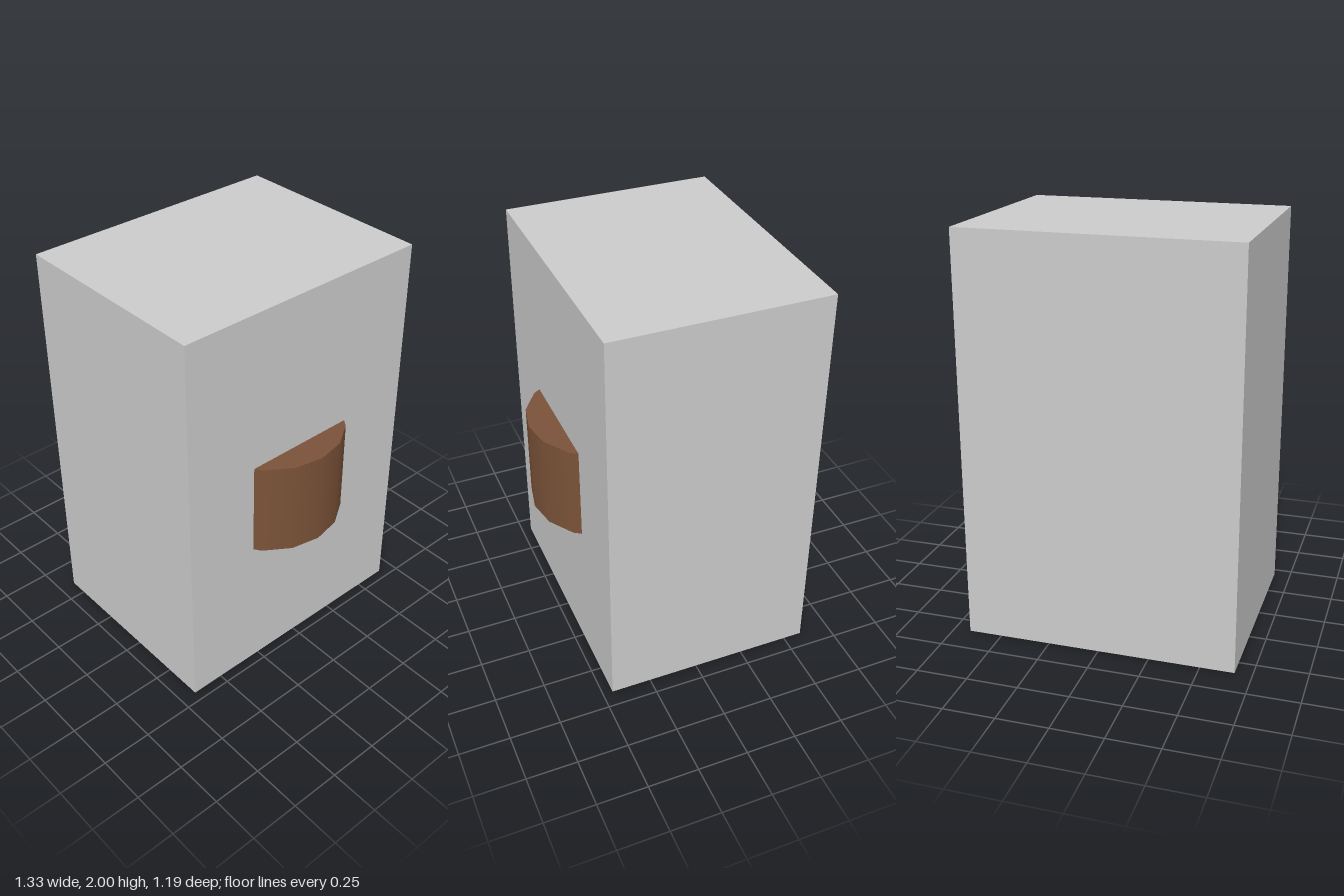
import * as THREE from 'three';

export function createModel() {
  const group = new THREE.Group();

  function addPart(name, geometry, color, x, y, z) {
    const mesh = new THREE.Mesh(geometry, new THREE.MeshStandardMaterial({ color }));
    mesh.name = name;
    mesh.position.set(x, y, z);
    group.add(mesh);
  }

  // Upright block, back at z = -0.595 and front at z = 0.45
  addPart('body', new THREE.BoxGeometry(1.333, 2, 1.045), 0xcccccc, 0, 1, -0.0725);

  // Sixteen-sided upright drum, sunk into the front so only a shallow arc shows
  addPart('frontDrum', new THREE.CylinderGeometry(0.374, 0.374, 0.48, 16), 0x7a5238, 0, 0.962, 0.221);

  return group;
}
